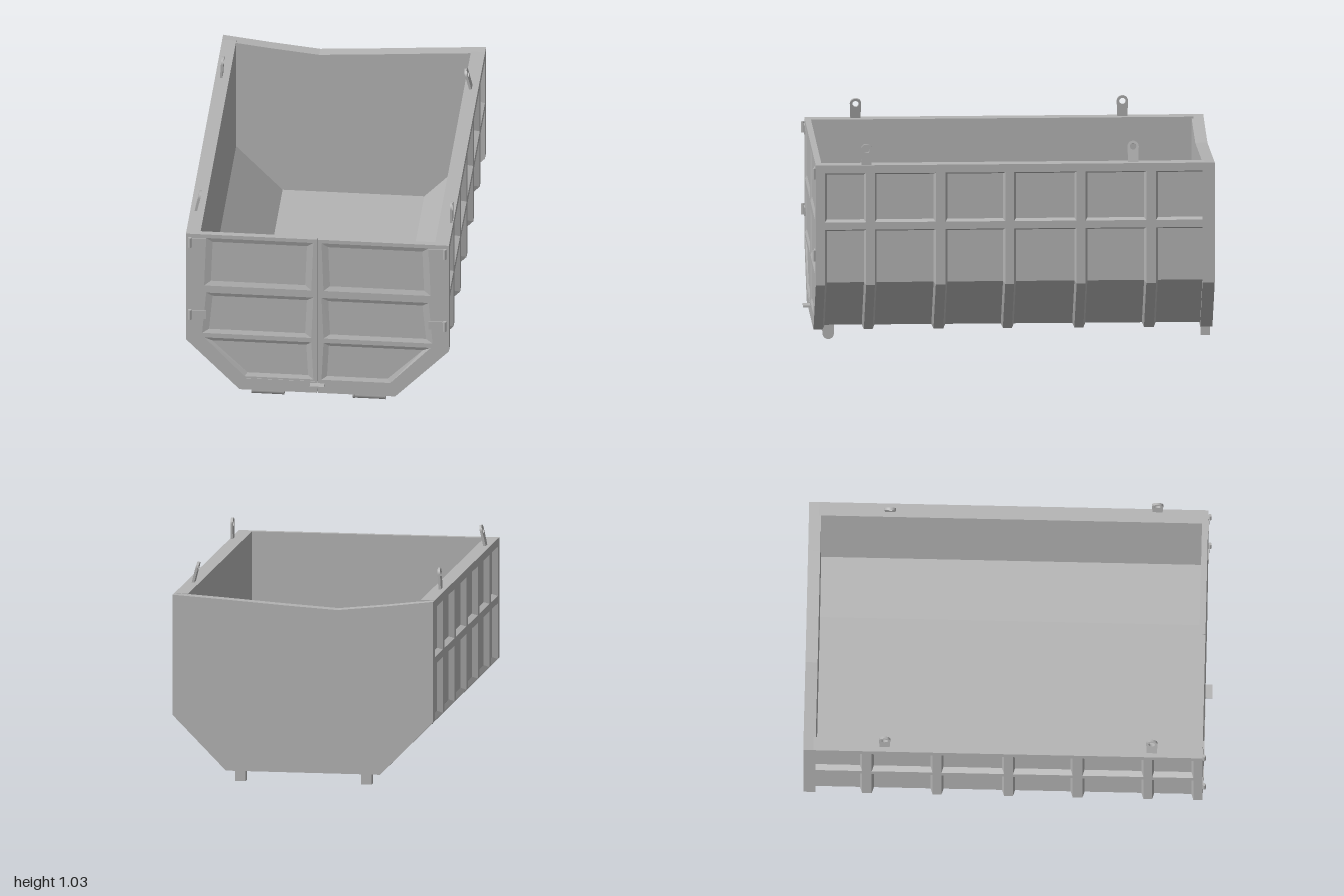
import * as THREE from 'three';

const OUT = [[0.65, 0.93], [0.65, 0.33], [0.385, 0.06], [-0.385, 0.06], [-0.65, 0.33], [-0.65, 0.93]];
const PANEL = [[0.622, 0.93], [0.622, 0.34], [0.376, 0.082], [-0.376, 0.082], [-0.622, 0.34], [-0.622, 0.93]];
const INNER = [[0.58, 0.93], [0.58, 0.335], [0.35, 0.1], [-0.35, 0.1], [-0.58, 0.335], [-0.58, 0.93]];

// Skin a list of equal closed cross-sections, flat shaded
function loft(sections, caps = true) {
  const pos = [];
  const tri = (a, b, c) => pos.push(...a, ...b, ...c);
  const n = sections[0].length;
  for (let i = 0; i < sections.length - 1; i++) {
    const [s, t] = [sections[i], sections[i + 1]];
    for (let j = 0; j < n; j++) {
      const k = (j + 1) % n;
      tri(s[j], s[k], t[k]);
      tri(s[j], t[k], t[j]);
    }
  }
  if (caps) {
    const [s, t] = [sections[0], sections[sections.length - 1]];
    for (let j = 1; j < n - 1; j++) {
      tri(s[0], s[j + 1], s[j]);
      tri(t[0], t[j], t[j + 1]);
    }
  }
  const g = new THREE.BufferGeometry();
  g.setAttribute('position', new THREE.Float32BufferAttribute(pos, 3));
  g.computeVertexNormals();
  return g;
}

const shapeOf = (pts) => new THREE.Shape(pts.map(([x, y]) => new THREE.Vector2(x, y)));

function slab(shape, z0, z1) {
  return new THREE.ExtrudeGeometry(shape, { depth: z1 - z0, bevelEnabled: false, curveSegments: 10 }).translate(0, 0, z0);
}

export function createModel() {
  const root = new THREE.Group();
  root.name = 'wasteContainer';
  const steel = new THREE.MeshStandardMaterial({ color: 0xb4b4b4, side: THREE.DoubleSide });
  steel.name = 'grey steel';
  const add = (name, geo, parent = root) => {
    const m = new THREE.Mesh(geo, steel);
    m.name = name;
    parent.add(m);
    return m;
  };
  const box = (name, x0, x1, y0, y1, z0, z1) => add(name,
    new THREE.BoxGeometry(x1 - x0, y1 - y0, z1 - z0).translate((x0 + x1) / 2, (y0 + y1) / 2, (z0 + z1) / 2));

  // Hollow body with sloping lower walls
  add('bodyShell', slab(shapeOf([...PANEL, ...[...INNER].reverse()]), -0.95, 0.94));

  // Back wall with its bent top edge
  const bentTop = [[-0.42, 0.902], [-0.17, 0.876], [0.1, 0.893], [0.4, 0.914]];
  add('backWall', slab(shapeOf([...OUT, ...bentTop]), -1, -0.94));

  // Tapered ribs wrapping the sides, slopes and underside
  const ribs = [[0.92, 0.94], [0.674, 0.717], [0.326, 0.374], [-0.012, 0.032], [-0.364, -0.32], [-0.711, -0.663]];
  ribs.forEach(([z0, z1]) => {
    const e = 0.01;
    add('rib', loft(OUT.map(([x, y], i) => {
      const [px, py] = PANEL[i];
      return [[px, py, z0 - e], [x, y, z0], [x, y, z1], [px, py, z1 + e]];
    })));
  });

  // Horizontal rails along both sides
  for (const s of [1, -1]) {
    for (const [name, y0, y1, e] of [['topRail', 0.89, 0.93, 0], ['middleRail', 0.608, 0.645, 0.01]]) {
      const sec = (z) => {
        const p = [[s * 0.6, y0 - 0.01, z], [s * 0.622, y0 - 0.01, z], [s * 0.65, y0, z], [s * 0.65, y1, z],
          [s * 0.622, y1 + e, z], [s * 0.6, y1 + e, z]];
        return s > 0 ? p : p.reverse();
      };
      add(name, loft([sec(-0.95), sec(0.94)]));
    }
  }

  // Front doors: backing sheet, framed faces and shallow pressed panels
  add('doorBacking', slab(shapeOf(OUT), 0.935, 0.95));
  const pressed = [
    [[-0.56, 0.64], [-0.03, 0.64], [-0.02, 0.91], [-0.55, 0.91]],
    [[-0.57, 0.37], [-0.03, 0.37], [-0.02, 0.6], [-0.55, 0.6]],
    [[-0.36, 0.135], [-0.02, 0.135], [-0.03, 0.345], [-0.56, 0.345]],
  ];
  for (const s of [-1, 1]) {
    const door = new THREE.Group();
    door.name = s < 0 ? 'rightDoor' : 'leftDoor';
    root.add(door);
    const face = shapeOf([[s * 0.002, 0.06], [s * 0.385, 0.06], [s * 0.65, 0.33], [s * 0.65, 0.93], [s * 0.002, 0.93]]);
    for (const pts of pressed) {
      const hole = pts.map(([x, y]) => [-s * x, y]);
      if (s > 0) hole.reverse();
      const cx = hole.reduce((a, p) => a + p[0], 0) / 4;
      const cy = hole.reduce((a, p) => a + p[1], 0) / 4;
      const floor = hole.map(([x, y]) => [cx + (x - cx) * 0.88, cy + (y - cy) * 0.82]);
      face.holes.push(shapeOf(hole));
      add('panelSlope', loft([hole.map((p) => [...p, 0.965]), floor.map((p) => [...p, 0.957])], false), door);
      add('panelFloor', new THREE.ShapeGeometry(shapeOf(floor)).translate(0, 0, 0.957), door);
    }
    add('doorFace', slab(face, 0.95, 0.965), door);

    // Hinges with upright pins
    for (const y of [0.885, 0.475]) {
      const a = s * 0.55, b = s * 0.625;
      box('hingeLeaf', Math.min(a, b), Math.max(a, b), y - 0.022, y + 0.022, 0.96, 0.97);
      add('hingePin', new THREE.CylinderGeometry(0.008, 0.008, 0.055, 12).translate(s * 0.63, y, 0.973));
    }
  }
  box('doorBottomLip', -0.35, 0, 0.121, 0.125, 0.96, 0.967);
  box('doorCatch', -0.035, 0.035, 0.106, 0.115, 0.96, 1);

  // Lifting lugs, some of them bent inwards
  const lug = new THREE.Shape();
  lug.moveTo(-0.024, -0.02);
  lug.lineTo(0.024, -0.02);
  lug.lineTo(0.028, 0.076);
  lug.absarc(0, 0.076, 0.028, 0, Math.PI, false);
  lug.closePath();
  const eye = new THREE.Path();
  eye.absarc(0, 0.076, 0.016, 0, Math.PI * 2, true);
  lug.holes.push(eye);
  const lugGeo = slab(lug, -0.006, 0.006).rotateY(Math.PI / 2);
  for (const [x, z, tilt] of [[-0.622, 0.715, -0.22], [0.64, 0.715, 0], [-0.62, -0.6, -0.06], [0.612, -0.6, 0.25]]) {
    const m = add('liftingLug', lugGeo);
    m.position.set(x, 0.93, z);
    m.rotation.z = tilt;
  }

  // Front rollers in brackets, and back feet
  for (const s of [-1, 1]) {
    add('roller', new THREE.CylinderGeometry(0.026, 0.026, 0.14, 20).rotateZ(Math.PI / 2).translate(s * 0.25, 0.029, 0.89));
    for (const x of [s * 0.25 - 0.076, s * 0.25 + 0.076]) {
      box('rollerBracket', x - 0.005, x + 0.005, 0.03, 0.085, 0.862, 0.918);
      add('rollerBracketEnd', new THREE.CylinderGeometry(0.028, 0.028, 0.01, 20).rotateZ(Math.PI / 2).translate(x, 0.03, 0.89));
    }
    box('backFoot', s * 0.315 - 0.026, s * 0.315 + 0.026, 0.008, 0.07, -0.99, -0.945);
  }
  return root;
}
